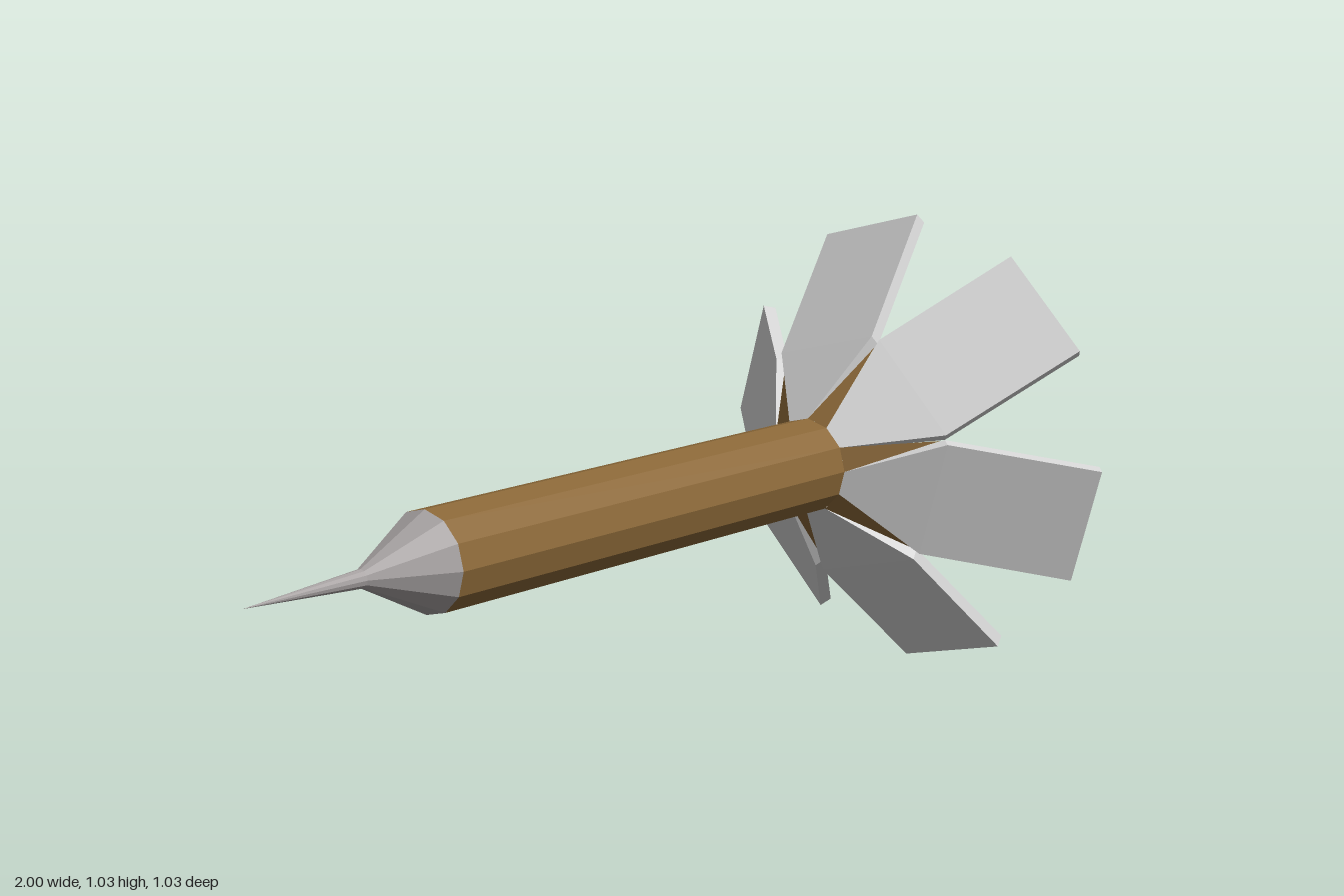
import * as THREE from 'three';

const AXIS_Y = 0.518, R = 0.104, SIDES = 12;

// Faceted geometry with hard edges
function faceted(geo) {
  const g = geo.index ? geo.toNonIndexed() : geo;
  g.computeVertexNormals();
  return g;
}

// Cylinder or cone lying along x, from x0 (radius r0) to x1 (radius r1)
function rod(x0, r0, x1, r1) {
  const g = new THREE.CylinderGeometry(r0, r1, x1 - x0, SIDES);
  g.rotateZ(Math.PI / 2).translate((x0 + x1) / 2, 0, 0);
  return faceted(g);
}

// One flight petal: cross-sections of outer point, inner point and half width
function petalGeometry() {
  const sections = [
    [0.600, 0.1005, 0.606, 0.093, 0.027],
    [0.740, 0.250, 0.757, 0.229, 0.132],
    [0.980, 0.4975, 1.000, 0.477, 0.133],
  ];
  const pos = [], idx = [];
  for (const [xo, ro, xi, ri, w] of sections)
    pos.push(xo, ro, w, xo, ro, -w, xi, ri, -w, xi, ri, w);
  const quad = (a, b, c, d) => idx.push(a, b, c, a, c, d);
  for (let s = 0; s < sections.length - 1; s++)
    for (let i = 0; i < 4; i++) {
      const a = s * 4 + i, b = s * 4 + (i + 1) % 4;
      quad(a, a + 4, b + 4, b);
    }
  const e = (sections.length - 1) * 4;
  quad(0, 1, 2, 3);
  quad(e + 3, e + 2, e + 1, e);
  const g = new THREE.BufferGeometry();
  g.setAttribute('position', new THREE.Float32BufferAttribute(pos, 3));
  g.setIndex(idx);
  return faceted(g);
}

// Triangular web that fills the gap between two petals
function webGeometry() {
  const g = new THREE.BufferGeometry();
  g.setAttribute('position', new THREE.Float32BufferAttribute(
    [0.6, 0.1005, 0.027, 0.745, 0.26, 0, 0.6, 0.1005, -0.027], 3));
  return faceted(g);
}

export function createModel() {
  const mat = (name, color, side = THREE.FrontSide) => {
    const m = new THREE.MeshStandardMaterial({ color, side });
    m.name = name;
    return m;
  };
  const brown = mat('brown', 0x8b6838, THREE.DoubleSide);
  const steel = mat('steel', 0xa6a1a1);
  const white = mat('paleGrey', 0xd6d6d6);

  const model = new THREE.Group();
  model.name = 'dart';
  const add = (name, geo, material, angle = 0) => {
    const m = new THREE.Mesh(geo, material);
    m.name = name;
    m.position.y = AXIS_Y;
    m.rotation.x = angle;
    model.add(m);
  };

  // Shaft and pointed tip
  add('shaft', rod(-0.55, R, 0.6, R), brown);
  add('tipCollar', rod(-0.55 - 0.165, 0.019, -0.55, R), steel);
  add('needle', rod(-1, 0, -0.715, 0.019), steel);

  // Six flared petals with a web between each pair
  const petal = petalGeometry(), web = webGeometry();
  for (let k = 0; k < 6; k++) {
    const angle = -Math.PI / 12 - k * Math.PI / 3;
    add('flightPetal', petal, white, angle);
    add('flightWeb', web, brown, angle - Math.PI / 6);
  }
  return model;
}
